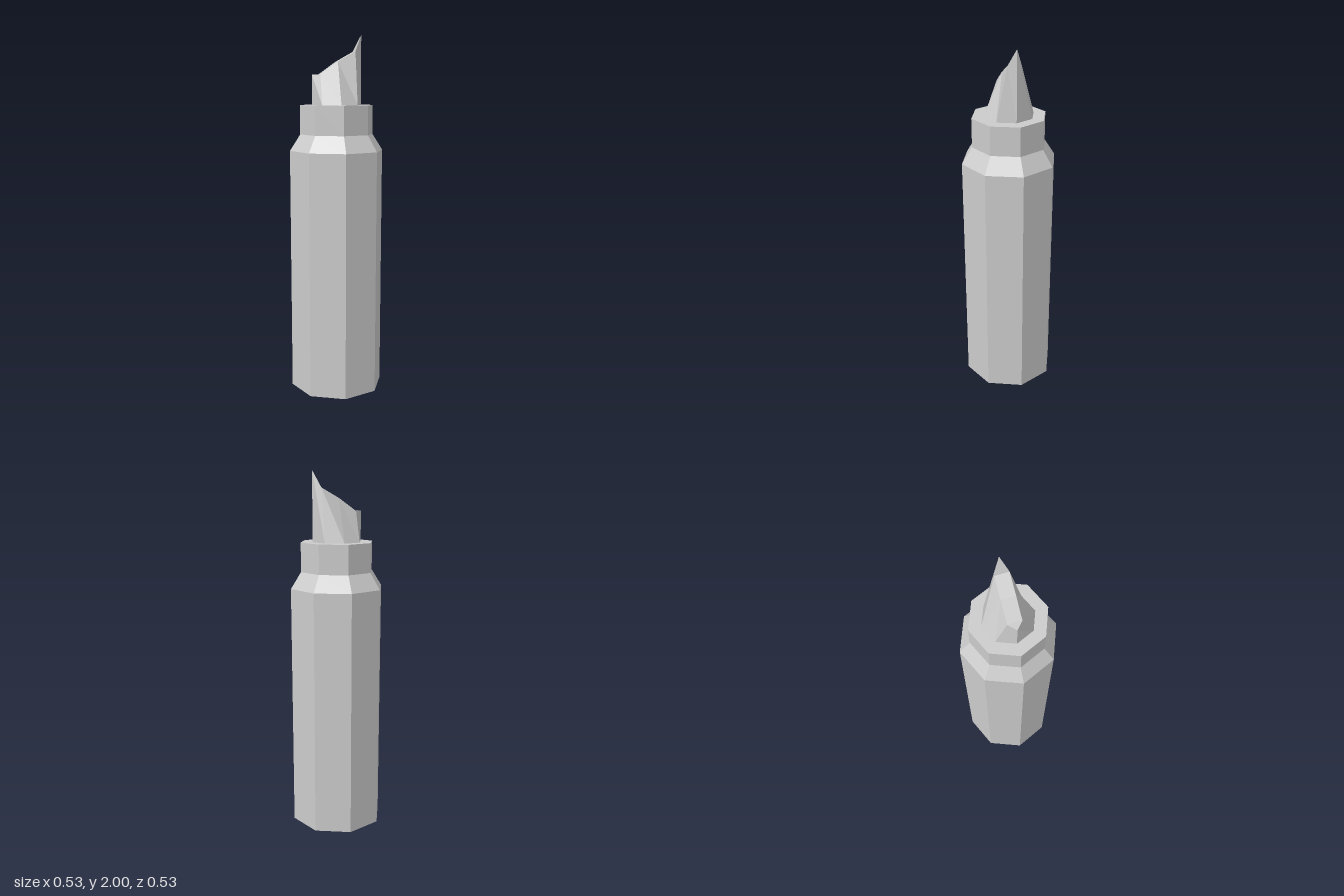
import * as THREE from 'three';

const SIDES = 8;
const material = new THREE.MeshStandardMaterial({ color: 0xcccccc, flatShading: true });

// Octagonal barrel with a sloped shoulder and narrow collar
function createBarrel() {
  const profile = [[0, 0], [0.263, 0], [0.263, 1.37], [0.205, 1.46], [0.205, 1.62], [0, 1.62]];
  const geometry = new THREE.LatheGeometry(profile.map(([r, y]) => new THREE.Vector2(r, y)), SIDES);
  const mesh = new THREE.Mesh(geometry, material);
  mesh.name = 'barrel';
  return mesh;
}

// Chisel nib: an octagon pinched in z, with a slanted top rising to a point at +x
function createNib() {
  const radius = 0.138, baseY = 1.62, halfThickness = 0.037;
  const topY = [1.855, 1.91, 2, 1.91, 1.855, 1.785, 1.785, 1.785];
  const bottom = [], top = [];
  for (let i = 0; i < SIDES; i++) {
    const angle = (i / SIDES) * Math.PI * 2;
    const x = radius * Math.sin(angle), z = radius * Math.cos(angle);
    const pinched = i % 4 === 2 ? 0 : Math.sign(z) * halfThickness;
    bottom.push(x, baseY, z);
    top.push(x, topY[i], pinched);
  }

  const index = [];
  for (let i = 0; i < SIDES; i++) {
    const j = (i + 1) % SIDES;
    index.push(i, j, SIDES + i, j, SIDES + j, SIDES + i);
  }
  // Slanted writing face, laid in strips across the thickness
  const cap = [1, 2, 3, 0, 1, 3, 0, 3, 4, 7, 0, 4, 7, 4, 5, 5, 6, 7];
  index.push(...cap.map((i) => i + SIDES));

  const indexed = new THREE.BufferGeometry();
  indexed.setAttribute('position', new THREE.Float32BufferAttribute([...bottom, ...top], 3));
  indexed.setIndex(index);
  const geometry = indexed.toNonIndexed();
  geometry.computeVertexNormals();
  const mesh = new THREE.Mesh(geometry, material);
  mesh.name = 'chiselNib';
  return mesh;
}

export function createModel() {
  const group = new THREE.Group();
  group.name = 'marker';
  group.add(createBarrel(), createNib());
  return group;
}
